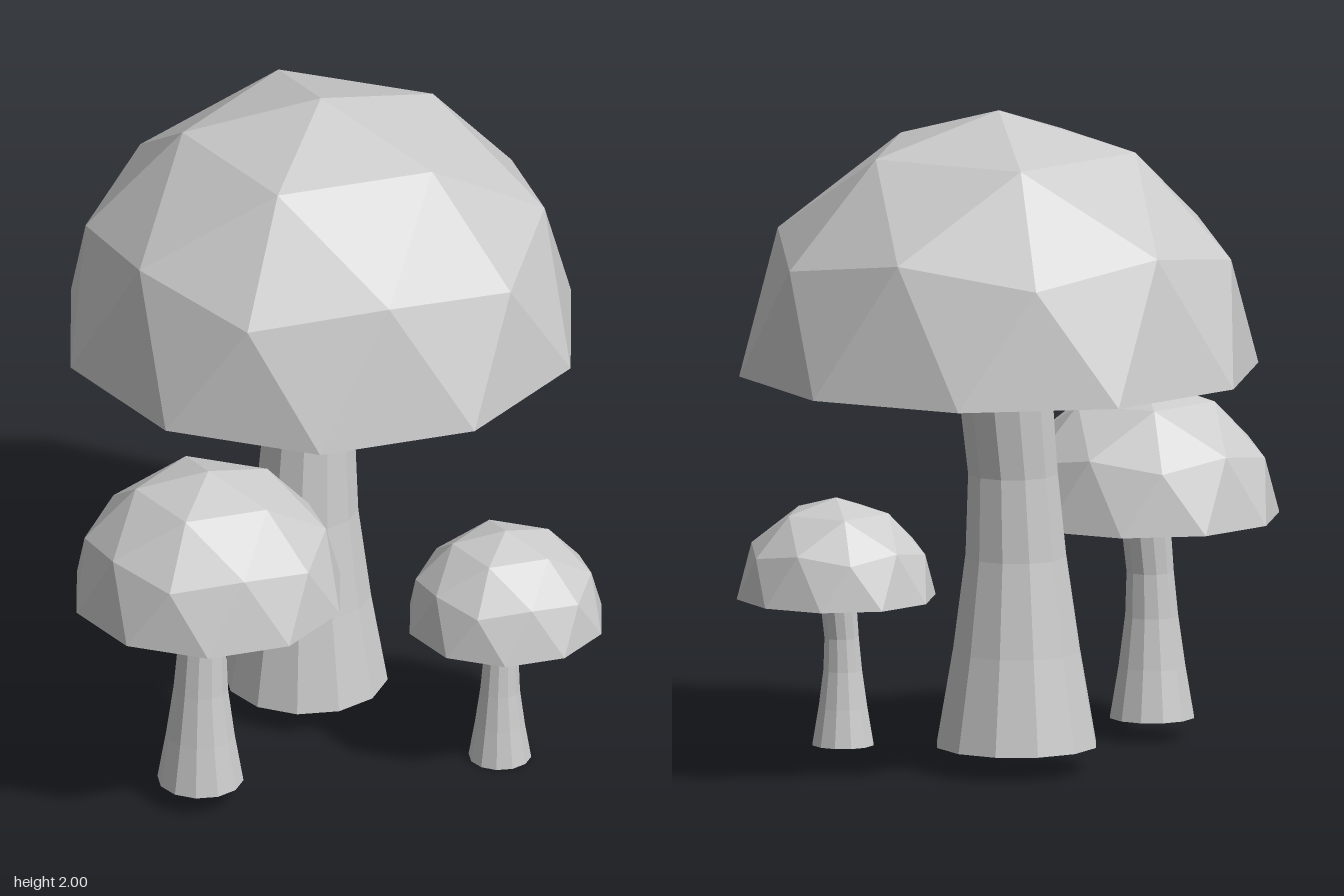
import * as THREE from 'three';
import { ConvexGeometry } from 'three/addons/geometries/ConvexGeometry.js';

const material = new THREE.MeshStandardMaterial({ color: 0xcccccc, flatShading: true });

// Faceted dome of radius 1: the upper half of a once-divided icosahedron, closed below.
function capGeometry() {
  const points = [new THREE.Vector3(0, 1, 0)];
  const ring = (count, radius, y, startDegrees) => {
    for (let i = 0; i < count; i++) {
      const a = THREE.MathUtils.degToRad(startDegrees) + (i / count) * Math.PI * 2;
      points.push(new THREE.Vector3(radius * Math.cos(a), y, radius * Math.sin(a)));
    }
  };
  ring(5, 0.5257, 0.8507, 0);
  ring(5, 0.8944, 0.4472, 0);
  ring(5, 0.8507, 0.5257, 36);
  ring(10, 1, 0, 18);
  return new ConvexGeometry(points);
}

// Stem levels for the largest mushroom: height fraction, radius, z offset from the cap's axis
const LEVELS = [
  [0, 0.245, 0.075],
  [0.25, 0.195, 0.075],
  [0.5, 0.155, 0.072],
  [0.72, 0.138, 0.06],
  [0.94, 0.144, 0.028],
  [1, 0.172, 0],
];

// Tapered, gently bent stem with a flare just under the cap.
function stemGeometry() {
  const steps = LEVELS.length - 1;
  const geometry = new THREE.CylinderGeometry(1, 1, steps, 12, steps);
  const p = geometry.attributes.position;
  for (let i = 0; i < p.count; i++) {
    const [y, radius, bend] = LEVELS[Math.round(p.getY(i) + steps / 2)];
    p.setXYZ(i, p.getX(i) * radius, y, p.getZ(i) * radius + bend);
  }
  const flat = geometry.toNonIndexed();
  flat.computeVertexNormals();
  return flat;
}

// x, z: cap axis; base: foot of the stem; rim: underside of the cap; radius: cap radius
const MUSHROOMS = [
  { name: 'largeMushroom', x: -0.11, z: -0.175, base: 0.075, rim: 1.217, radius: 0.783 },
  { name: 'mediumMushroom', x: 0, z: 0.543, base: 0.063, rim: 0.675, radius: 0.412 },
  { name: 'smallMushroom', x: 0.568, z: -0.18, base: 0, rim: 0.449, radius: 0.3 },
];

export function createModel() {
  const model = new THREE.Group();
  model.name = 'mushroomCluster';
  const capShape = capGeometry();
  const stemShape = stemGeometry();

  for (const { name, x, z, base, rim, radius } of MUSHROOMS) {
    const mushroom = new THREE.Group();
    mushroom.name = name;
    mushroom.position.set(x, 0, z);

    const cap = new THREE.Mesh(capShape, material);
    cap.name = 'cap';
    cap.position.y = rim;
    cap.scale.setScalar(radius);

    const stem = new THREE.Mesh(stemShape, material);
    stem.name = 'stem';
    stem.position.y = base;
    const girth = radius / 0.783;
    stem.scale.set(girth, rim - base, girth);

    mushroom.add(cap, stem);
    model.add(mushroom);
  }
  return model;
}
